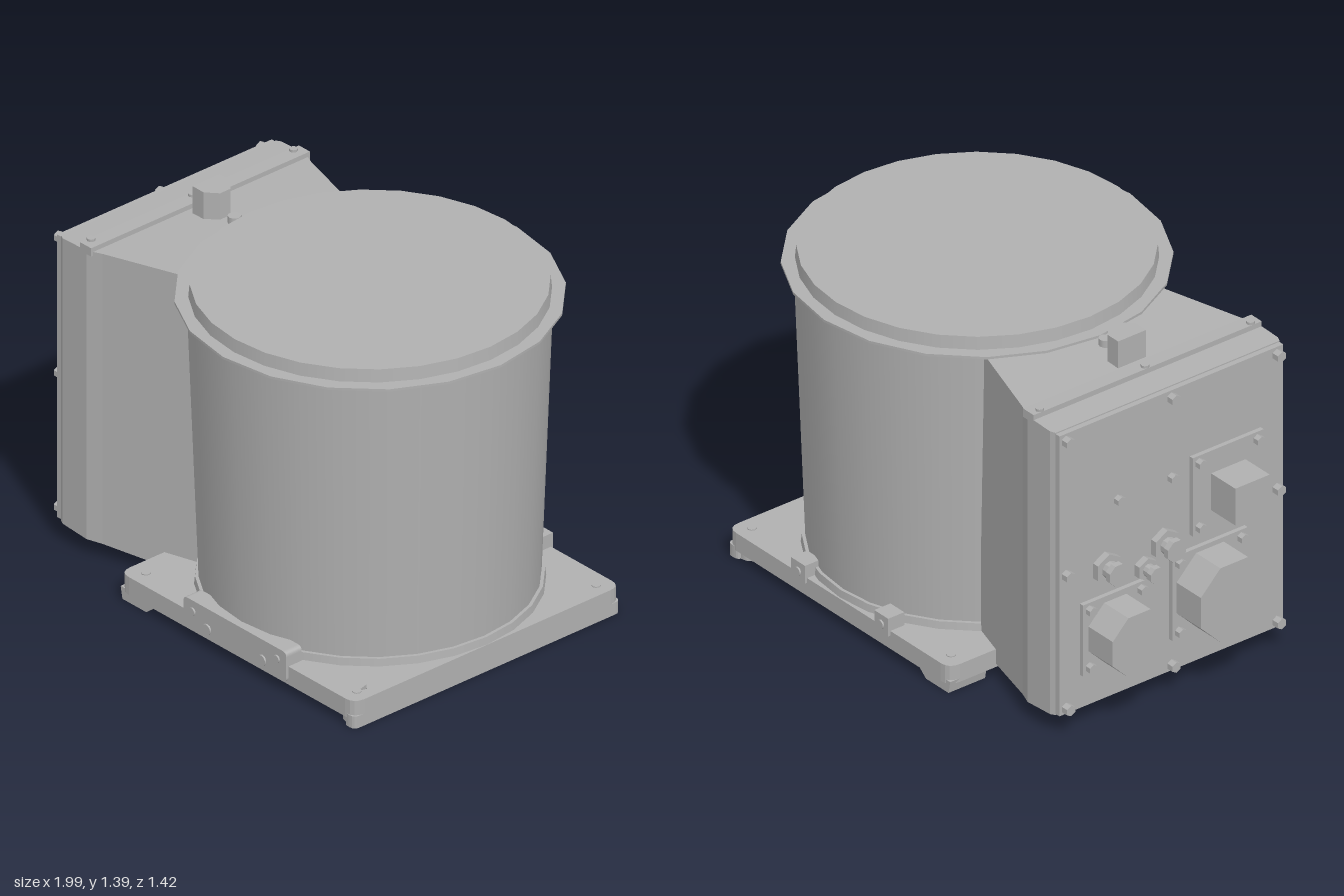
import * as THREE from 'three';

const grey = new THREE.MeshStandardMaterial({ color: 0xb0b0b0 });
grey.name = 'light grey';

export function createModel() {
  const model = new THREE.Group();
  model.name = 'housing';
  const CX = 0.28; // drum axis

  function add(name, geo, x = 0, y = 0, z = 0) {
    const m = new THREE.Mesh(geo, grey);
    m.name = name;
    m.position.set(x, y, z);
    model.add(m);
    return m;
  }
  // Box given by its limits
  function box(name, x0, x1, y0, y1, z0, z1) {
    return add(name, new THREE.BoxGeometry(x1 - x0, y1 - y0, z1 - z0),
      (x0 + x1) / 2, (y0 + y1) / 2, (z0 + z1) / 2);
  }
  function flat(geo) {
    const g = geo.toNonIndexed();
    g.computeVertexNormals();
    return g;
  }
  // Upright round part between two heights
  function round(name, rTop, rBottom, y0, y1, sides = 24, x = CX, z = 0) {
    return add(name, new THREE.CylinderGeometry(rTop, rBottom, y1 - y0, sides), x, (y0 + y1) / 2, z);
  }
  // Faceted part lying along x
  function stud(name, r, x0, x1, y, z, sides = 6, rTip = r) {
    const g = new THREE.CylinderGeometry(r, rTip, x1 - x0, sides);
    g.rotateY(Math.PI / sides);
    g.rotateZ(-Math.PI / 2);
    return add(name, flat(g), (x0 + x1) / 2, y, z);
  }
  // Extrude a plan outline (x, z) upwards
  function slab(name, shape, y0, y1) {
    const g = new THREE.ExtrudeGeometry(shape, { depth: y1 - y0, bevelEnabled: false, curveSegments: 4 });
    g.rotateX(-Math.PI / 2);
    return add(name, g, 0, y0, 0);
  }
  function roundedRect(x0, x1, z0, z1, r) {
    const s = new THREE.Shape();
    s.moveTo(x0 + r, z0);
    s.lineTo(x1 - r, z0); s.quadraticCurveTo(x1, z0, x1, z0 + r);
    s.lineTo(x1, z1 - r); s.quadraticCurveTo(x1, z1, x1 - r, z1);
    s.lineTo(x0 + r, z1); s.quadraticCurveTo(x0, z1, x0, z1 - r);
    s.lineTo(x0, z0 + r); s.quadraticCurveTo(x0, z0, x0 + r, z0);
    return s;
  }

  // Base plate with a drain notch
  const plate = roundedRect(-0.36, 0.92, -0.645, 0.645, 0.05);
  const notch = new THREE.Path();
  notch.moveTo(0.845, -0.52); notch.lineTo(0.87, -0.54); notch.lineTo(0.86, -0.575);
  notch.closePath();
  plate.holes.push(notch);
  slab('basePlate', plate, 0.035, 0.11);

  // Feet under the corners, and the end rail
  for (const s of [-1, 1]) {
    const foot = new THREE.Shape();
    foot.moveTo(-0.36, 0.05); foot.lineTo(-0.35, 0.0); foot.lineTo(-0.22, 0.0); foot.lineTo(-0.16, 0.05);
    foot.closePath();
    add('rearFoot', new THREE.ExtrudeGeometry(foot, { depth: 0.17, bevelEnabled: false }),
      0, 0, s > 0 ? 0.47 : -0.64);
    round('footBoss', 0.05, 0.05, 0, 0.05, 12, 0.86, s * 0.58);
    for (const x of [-0.29, 0.86]) round('footScrew', 0.018, 0.018, -0.0, 0.114, 8, x, s * 0.58);
  }
  slab('endRail', roundedRect(0.86, 0.92, -0.645, 0.645, 0.025), 0, 0.05);

  // Round cover and bolts underneath
  round('bottomCover', 0.48, 0.48, 0.025, 0.05, 16);
  for (let i = 0; i < 8; i++) {
    const a = (i + 0.5) * Math.PI / 4;
    round('bottomBolt', 0.022, 0.022, 0.006, 0.04, 8, CX + 0.43 * Math.cos(a), 0.43 * Math.sin(a));
  }

  // Front mounting bar with bolts
  const bar = roundedRect(0, 0.56, 0.045, 0.17, 0.02);
  add('frontBar', new THREE.ExtrudeGeometry(bar, { depth: 0.075, bevelEnabled: false }), 0, 0, 0.58);
  for (const [x, y, r] of [[0.05, 0.125, 0.016], [0.13, 0.085, 0.022], [0.43, 0.085, 0.022], [0.51, 0.125, 0.016]]) {
    const g = new THREE.CylinderGeometry(r, r, 0.02, 10).rotateX(Math.PI / 2);
    add('barBolt', g, x, y, 0.652);
  }
  // Lugs at the back
  for (const x of [0.02, 0.5]) {
    box('backLug', x - 0.04, x + 0.04, 0.09, 0.165, -0.655, -0.58);
    add('lugBolt', new THREE.CylinderGeometry(0.018, 0.018, 0.02, 10).rotateX(Math.PI / 2), x, 0.125, -0.652);
  }

  // Drum, neck, flange and lid
  round('drumFoot', 0.635, 0.64, 0.10, 0.14, 28);
  round('drum', 0.665, 0.622, 0.13, 1.28, 28);
  round('drumNeck', 0.635, 0.635, 1.27, 1.31, 28);
  round('lidFlange', 0.712, 0.712, 1.298, 1.308, 20);
  round('lid', 0.655, 0.66, 1.305, 1.36, 28);

  // Side housing: plan outline with sloping top and bottom
  const plan = new THREE.Shape();
  [[-0.82, -0.52], [-0.8, -0.53], [-0.67, -0.53], [-0.61, -0.505], [-0.22, -0.385],
    [-0.22, 0.385], [-0.61, 0.505], [-0.67, 0.53], [-0.8, 0.53], [-0.82, 0.52]]
    .forEach(([x, z], i) => (i ? plan.lineTo(x, z) : plan.moveTo(x, z)));
  plan.closePath();
  const body = slab('sideHousing', plan, 0, 1).geometry;
  const p = body.attributes.position;
  for (let i = 0; i < p.count; i++) {
    const t = (p.getX(i) + 0.82) / 0.6;
    p.setY(i, p.getY(i) > 0.5 ? 1.27 + 0.02 * t : 0.08 - 0.04 * t);
  }
  body.computeVertexNormals();

  // Raised strip on the housing top
  box('topStrip', -0.705, -0.645, 1.26, 1.295, -0.53, 0.53);
  for (const z of [-0.49, 0, 0.49]) round('stripScrew', 0.016, 0.016, 1.29, 1.305, 8, -0.69, z);

  // Small bracket block and screw
  const block = new THREE.Shape();
  [[-0.615, -0.065], [-0.555, -0.065], [-0.51, -0.025], [-0.51, 0.025], [-0.555, 0.065], [-0.615, 0.065]]
    .forEach(([x, z], i) => (i ? block.lineTo(x, z) : block.moveTo(x, z)));
  block.closePath();
  slab('topBlock', block, 1.27, 1.39);
  round('topScrew', 0.025, 0.025, 1.27, 1.31, 10, -0.46, 0);

  // Connector panel with edge bolts
  box('connectorPanel', -0.842, -0.815, 0.085, 1.265, -0.52, 0.52);
  for (const y of [0.11, 0.67, 1.235]) {
    for (const z of [-0.49, 0.49]) stud('panelBolt', 0.022, -0.872, -0.835, y, z);
  }
  for (const y of [0.11, 1.235]) stud('panelBolt', 0.022, -0.872, -0.835, y, 0);
  for (const [y, z] of [[0.9, 0], [0.9, -0.25]]) stud('panelBolt', 0.02, -0.868, -0.835, y, z);

  // Mounting flanges with four bolts each: y, z, half size
  for (const [y, z, h] of [[0.79, 0.25, 0.165], [0.395, 0.165, 0.175], [0.375, -0.275, 0.15]]) {
    box('connectorFlange', -0.86, -0.835, y - h, y + h, z - h, z + h);
    for (const a of [-1, 1]) for (const b of [-1, 1]) {
      stud('flangeBolt', 0.02, -0.885, -0.855, y + a * (h - 0.03), z + b * (h - 0.03));
    }
  }
  // Connector caps
  box('squareCap', -1, -0.855, 0.705, 0.86, 0.17, 0.33);
  stud('largeCap', 0.168, -1, -0.855, 0.395, 0.165, 8);
  stud('mediumCap', 0.135, -1, -0.855, 0.375, -0.275, 8);

  // Small threaded connectors
  for (const [y, z, k] of [[0.64, -0.31, 1], [0.64, -0.04, 1], [0.57, -0.13, 0.75]]) {
    stud('socketNut', 0.062 * k, -0.87, -0.835, y, z);
    stud('socketBarrel', 0.034 * k, -0.905, -0.865, y, z, 10);
    stud('socketTip', 0.045 * k, -0.925, -0.9, y, z, 8);
  }
  return model;
}
